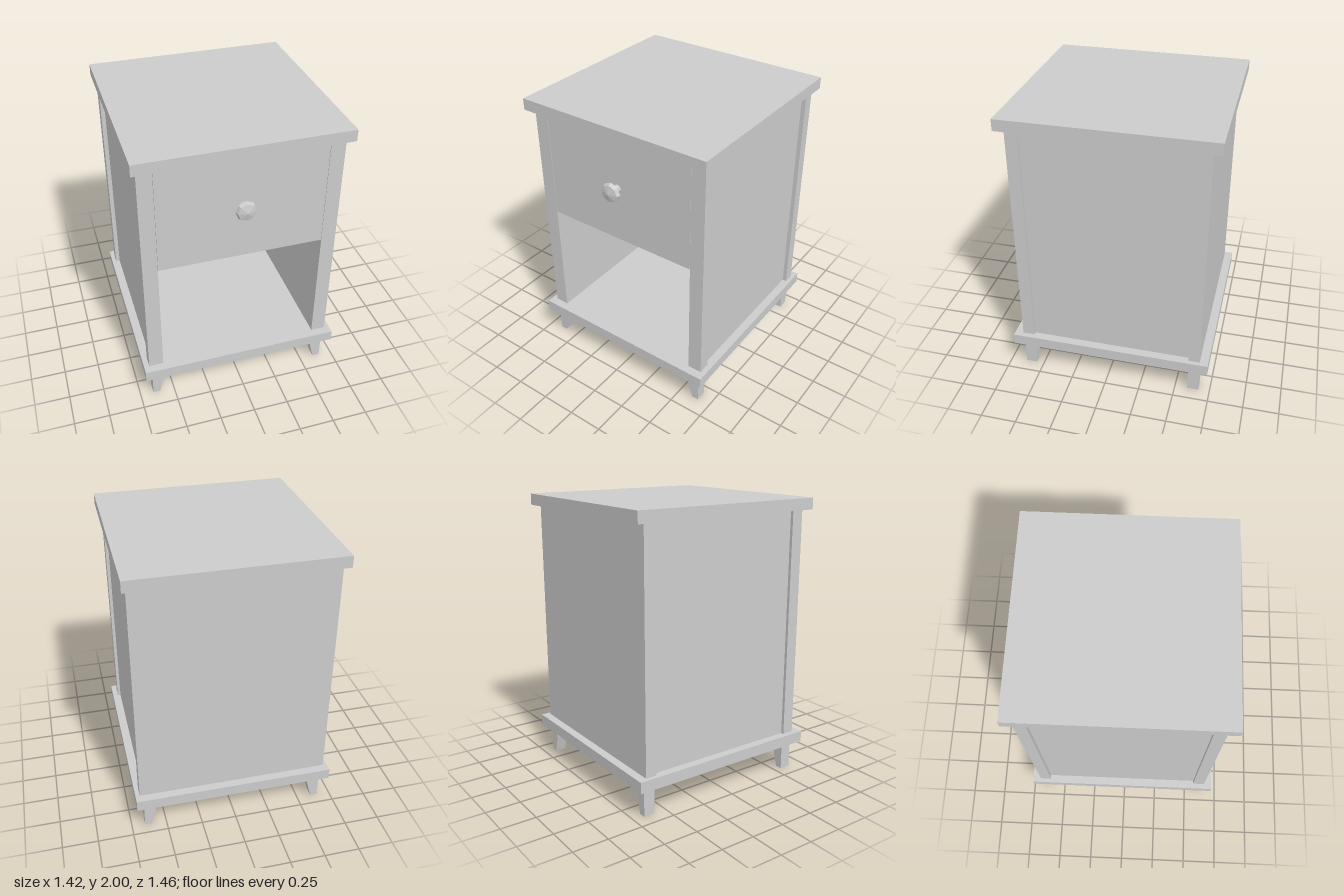
import * as THREE from 'three';

const grey = new THREE.MeshStandardMaterial({ color: 0xcccccc, flatShading: true });
const greyOpen = new THREE.MeshStandardMaterial({ color: 0xcccccc, flatShading: true, side: THREE.DoubleSide });

// Box given by its limits on each axis
function box(name, [x0, x1], [y0, y1], [z0, z1]) {
  const geo = new THREE.BoxGeometry(x1 - x0, y1 - y0, z1 - z0);
  geo.translate((x0 + x1) / 2, (y0 + y1) / 2, (z0 + z1) / 2);
  const mesh = new THREE.Mesh(geo, grey);
  mesh.name = name;
  return mesh;
}

// Same limits mirrored in x
const span = (a, b, side) => (side > 0 ? [a, b] : [-b, -a]);

export function createModel() {
  const model = new THREE.Group();
  model.name = 'nightstand';
  const LOW = 0.285, HIGH = 1.92;

  // Top board, and a base board that is hollow underneath
  model.add(box('top', [-0.71, 0.71], [HIGH, 2], [-0.73, 0.695]));
  const base = box('base', [-0.71, 0.71], [0.205, LOW], [-0.73, 0.695]);
  const faces = Array.from(base.geometry.index.array);
  faces.splice(18, 6); // drop the underside
  base.geometry.setIndex(faces);
  base.geometry.clearGroups();
  base.material = greyOpen;
  model.add(base);

  // Leg outline: straight outside, tapered inside
  const legShape = new THREE.Shape([
    [0.605, 0], [0.655, 0], [0.655, 0.28], [0.57, 0.28], [0.57, 0.13],
  ].map(([x, y]) => new THREE.Vector2(x, y)));
  const legGeo = new THREE.ExtrudeGeometry(legShape, { depth: 0.08, bevelEnabled: false });

  for (const side of [1, -1]) {
    const tag = side > 0 ? 'left' : 'right';
    // Corner posts and the recessed side panel
    model.add(box(tag + 'FrontPost', span(0.57, 0.672, side), [LOW, HIGH], [0.55, 0.635]));
    model.add(box(tag + 'BackPost', span(0.57, 0.68, side), [LOW, HIGH], [-0.67, -0.59]));
    model.add(box(tag + 'SidePanel', span(0.57, 0.65, side), [LOW, HIGH], [-0.59, 0.55]));

    // Legs
    for (const [end, z] of [['Front', 0.555], ['Back', -0.67]]) {
      const leg = new THREE.Mesh(legGeo, grey);
      leg.name = tag + end + 'Leg';
      // a half turn mirrors the leg, as its depth is constant
      leg.rotation.y = side > 0 ? 0 : Math.PI;
      leg.position.z = side > 0 ? z : z + 0.08;
      model.add(leg);
    }
  }
  model.add(box('backPanel', [-0.57, 0.57], [LOW, HIGH], [-0.67, -0.6]));

  // Drawer: front board and open tray
  const drawer = new THREE.Group();
  drawer.name = 'drawer';
  drawer.add(box('drawerFront', [-0.568, 0.568], [1.14, HIGH], [0.57, 0.634]));
  drawer.add(box('drawerBottom', [-0.56, 0.56], [1.22, 1.25], [-0.55, 0.57]));
  drawer.add(box('drawerBack', [-0.56, 0.56], [1.25, 1.79], [-0.55, -0.52]));
  for (const side of [1, -1]) {
    drawer.add(box('drawerSide', span(0.53, 0.56, side), [1.25, 1.79], [-0.52, 0.57]));
  }

  // Faceted knob: stem, flared rim and shallow pointed cap
  const profile = [[0, 0], [0.03, 0], [0.03, 0.058], [0.072, 0.058], [0.062, 0.083], [0, 0.098]]
    .map(([r, h]) => new THREE.Vector2(r, h));
  const knob = new THREE.Mesh(new THREE.LatheGeometry(profile, 8), grey);
  knob.name = 'knob';
  knob.rotation.x = Math.PI / 2;
  knob.position.set(0, 1.54, 0.634);
  drawer.add(knob);
  model.add(drawer);

  return model;
}
